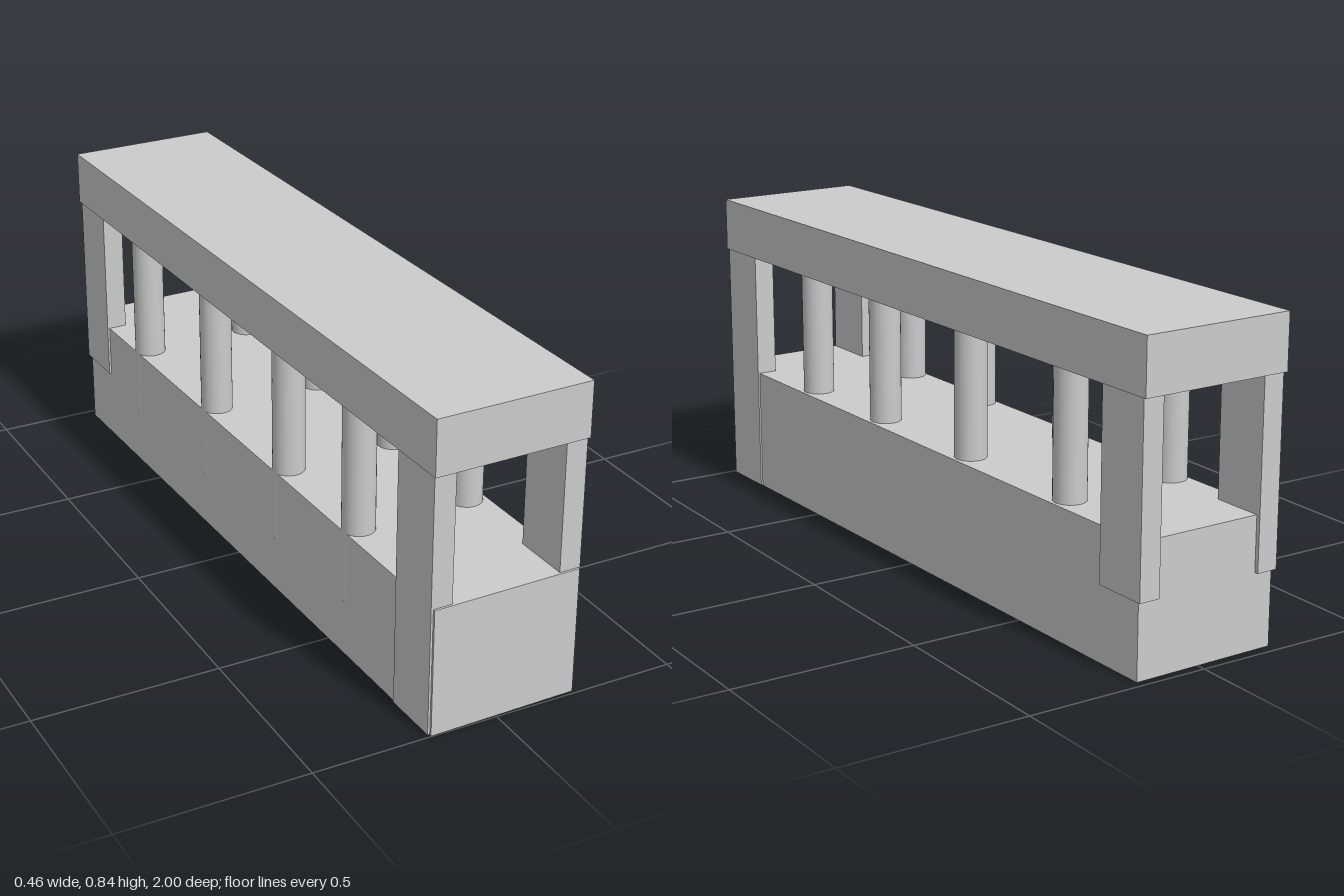
import * as THREE from 'three';

const material = new THREE.MeshStandardMaterial({ color: 0xcccccc });

function add(group, name, geometry, x, y, z) {
  const mesh = new THREE.Mesh(geometry, material);
  mesh.name = name;
  mesh.position.set(x, y, z);
  group.add(mesh);
}

// Box given by its limits on each axis
function block(group, name, [x0, x1], [y0, y1], [z0, z1]) {
  add(group, name, new THREE.BoxGeometry(x1 - x0, y1 - y0, z1 - z0),
    (x0 + x1) / 2, (y0 + y1) / 2, (z0 + z1) / 2);
}

export function createModel() {
  const model = new THREE.Group();
  model.name = 'pavilion';

  // The whole body stands slightly turned on its axis
  const body = new THREE.Group();
  body.name = 'body';
  body.rotation.y = 0.02;
  model.add(body);

  // Solid base and flat roof slab
  block(body, 'base', [-0.202, 0.203], [0, 0.346], [-0.975, 0.995]);
  block(body, 'roof', [-0.211, 0.211], [0.693, 0.84], [-0.996, 0.996]);

  for (const side of [-1, 1]) {
    const label = side > 0 ? 'left' : 'right';
    const xs = side > 0 ? [0.15, 0.208] : [-0.208, -0.15];

    // Corner posts: the front pair reach the ground, the back pair stop short
    block(body, label + 'FrontPost', xs, [0.002, 0.7], [0.83, 0.989]);
    block(body, label + 'BackPost', xs, [0.2, 0.7], [-0.986, -0.832]);

    // Round columns along each long side, sunk into the base
    const x = side > 0 ? 0.151 : -0.161;
    for (const z of [0.572, 0.21, -0.205, -0.635]) {
      add(body, label + 'Column', new THREE.CylinderGeometry(0.043, 0.043, 0.55, 32), x, 0.425, z);
    }
  }

  return model;
}
